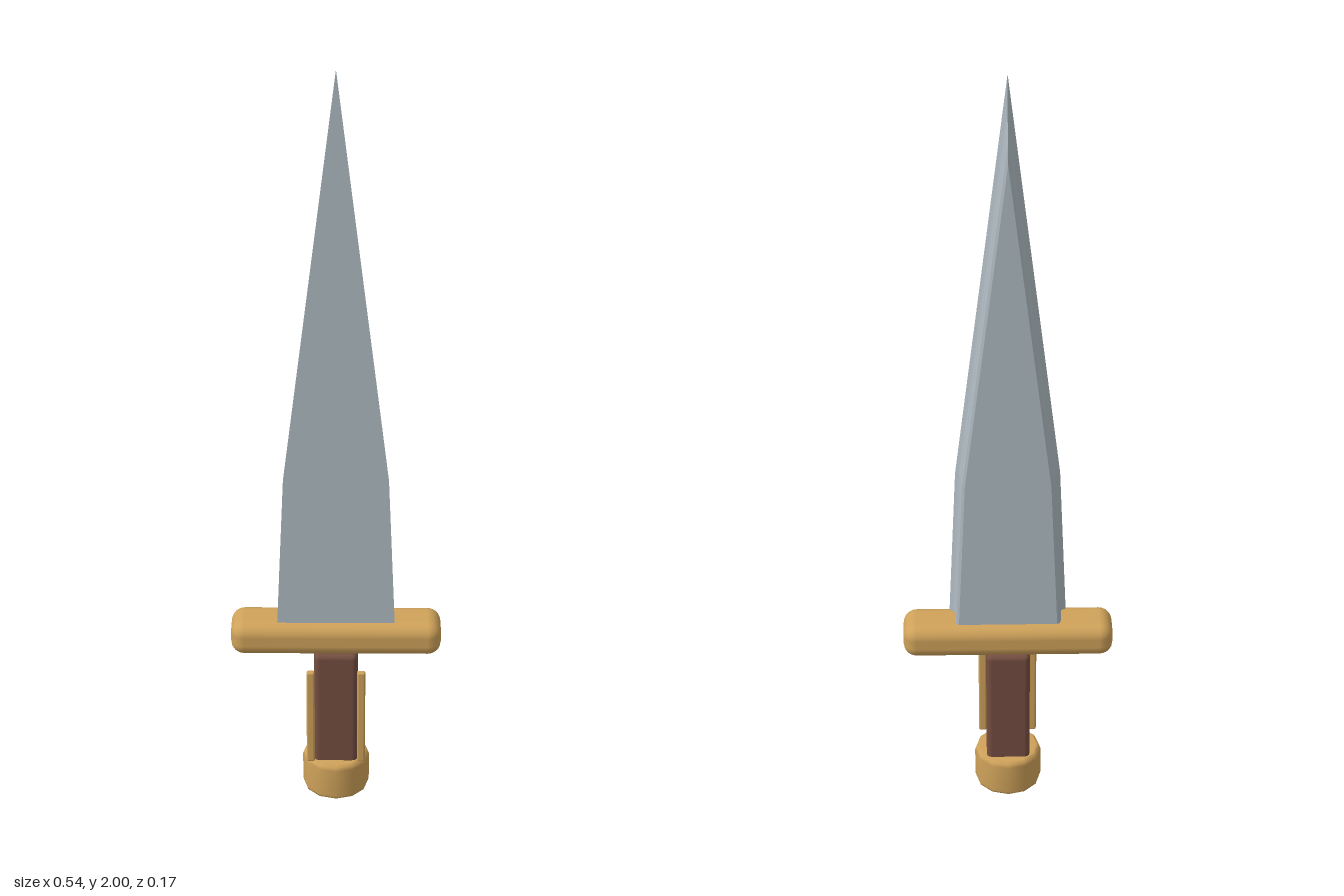
import * as THREE from 'three';
import { RoundedBoxGeometry } from 'three/addons/geometries/RoundedBoxGeometry.js';

const mat = (name, color) => {
  const m = new THREE.MeshStandardMaterial({ color });
  m.name = name;
  return m;
};

// Blade: a pointed outline lofted along z, inset by a different amount at each depth
function bladeGeometry() {
  const sections = [ // [z, inset from the front outline]
    [0.034, 0], [0.030, 0.006], [0.026, 0.011], [0.020, 0.0135],
    [-0.021, 0.0135], [-0.030, 0.017], [-0.034, 0.024],
  ];
  const loops = sections.map(([z, d]) => [
    [-0.151 + d, 0.48, z], [0.151 - d, 0.48, z],
    [0.131 - d, 0.93, z], [0, 2 - d * 8.2, z], [-0.131 + d, 0.93, z],
  ]);
  const pos = [];
  const tri = (a, b, c) => pos.push(...a, ...b, ...c);
  const front = loops[0], back = loops[loops.length - 1];
  for (let i = 1; i < 4; i++) {
    tri(front[0], front[i], front[i + 1]);
    tri(back[0], back[i + 1], back[i]);
  }
  for (let s = 0; s < loops.length - 1; s++) {
    for (let i = 0; i < 5; i++) {
      const j = (i + 1) % 5;
      const a = loops[s][i], b = loops[s][j], c = loops[s + 1][j], d = loops[s + 1][i];
      tri(a, d, c);
      tri(a, c, b);
    }
  }
  const g = new THREE.BufferGeometry();
  g.setAttribute('position', new THREE.Float32BufferAttribute(pos, 3));
  g.computeVertexNormals();
  return g;
}

export function createModel() {
  const group = new THREE.Group();
  const steel = mat('steel', 0xb0bcc3);
  const brass = mat('brass', 0xcfa25a);
  const leather = mat('leather', 0x754e41);

  const add = (name, geometry, material, x = 0, y = 0, z = 0) => {
    const mesh = new THREE.Mesh(geometry, material);
    mesh.name = name;
    mesh.position.set(x, y, z);
    group.add(mesh);
    return mesh;
  };

  add('blade', bladeGeometry(), steel);

  // Slim tapered ridge just proud of both blade faces
  const ridge = new THREE.BoxGeometry(0.036, 1.16, 0.0695);
  const p = ridge.attributes.position;
  for (let i = 0; i < p.count; i++) if (p.getY(i) > 0) p.setX(i, p.getX(i) * 0.15);
  add('ridge', ridge, steel, 0, 1.15, 0);

  // Crossguard and grip
  add('guard', new RoundedBoxGeometry(0.536, 0.092, 0.122, 3, 0.034), brass, 0, 0.471, -0.001);
  add('grip', new RoundedBoxGeometry(0.112, 0.345, 0.108, 2, 0.014), leather, 0, 0.256, 0);

  // Thin strips at the two front corners of the grip
  for (const side of [-1, 1]) {
    add(side > 0 ? 'leftStrip' : 'rightStrip',
      new RoundedBoxGeometry(0.021, 0.275, 0.016, 2, 0.005), brass, side * 0.065, 0.248, 0.061);
  }

  // Twelve-sided pommel with softened rims
  const profile = [[0, 0], [0.078, 0], [0.084, 0.004], [0.0865, 0.012],
    [0.0865, 0.09], [0.083, 0.1], [0.075, 0.105], [0, 0.105]];
  add('pommel', new THREE.LatheGeometry(profile.map(([r, y]) => new THREE.Vector2(r, y)), 12), brass);

  return group;
}
